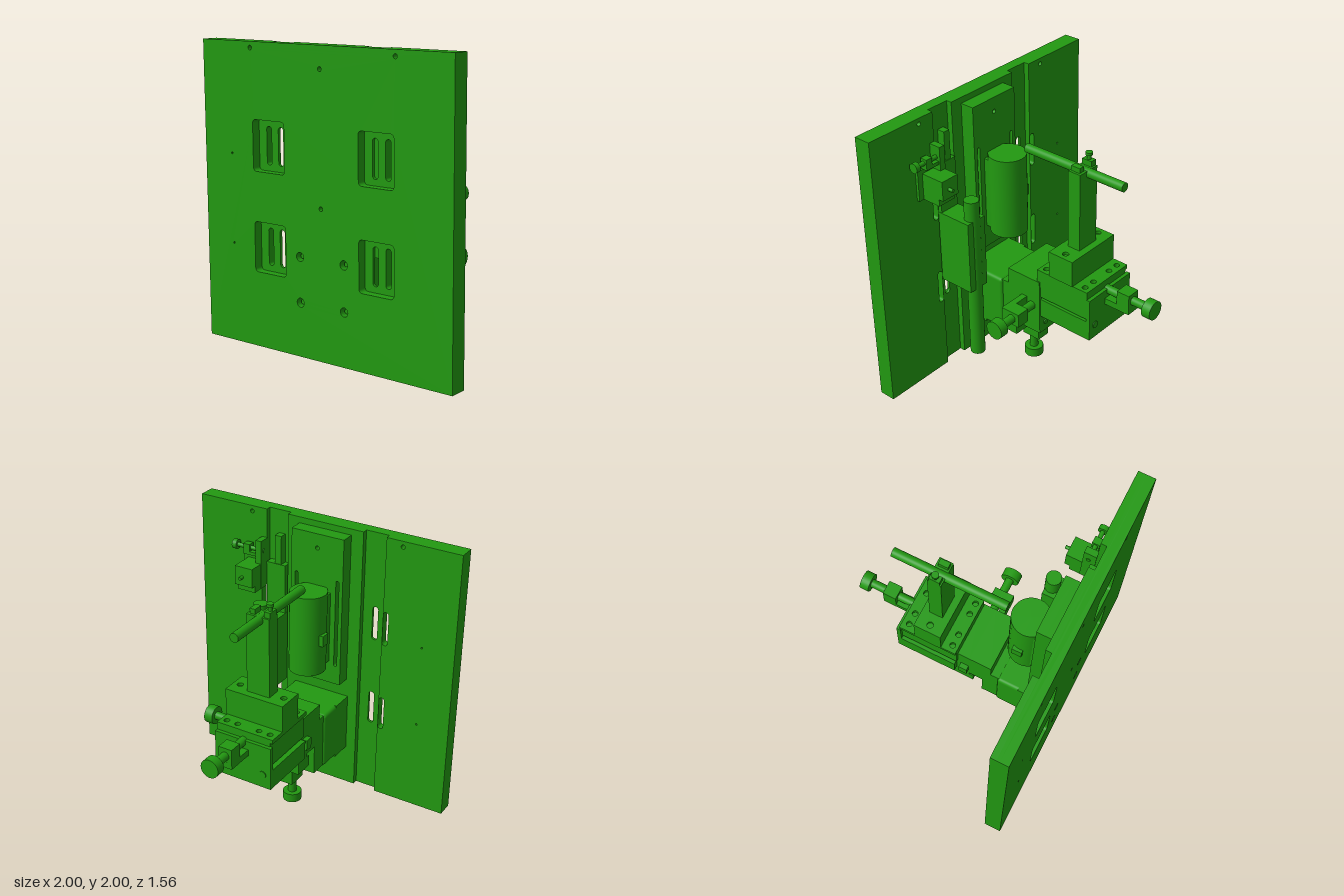
import * as THREE from 'three';
import { RoundedBoxGeometry } from 'three/addons/geometries/RoundedBoxGeometry.js';

const material = new THREE.MeshStandardMaterial({ color: 0x229911 });

export function createModel() {
  const model = new THREE.Group();

  const add = (name, geometry, x = 0, y = 0, z = 0, parent = model) => {
    const mesh = new THREE.Mesh(geometry, material);
    mesh.name = name;
    mesh.position.set(x, y, z);
    parent.add(mesh);
    return mesh;
  };
  // Box given by its limits on each axis
  const box = (name, x0, x1, y0, y1, z0, z1) =>
    add(name, new THREE.BoxGeometry(x1 - x0, y1 - y0, z1 - z0), (x0 + x1) / 2, (y0 + y1) / 2, (z0 + z1) / 2);
  // Cylinder along y or z from a to b
  const rodY = (name, x, z, r, a, b) =>
    add(name, new THREE.CylinderGeometry(r, r, b - a, 32), x, (a + b) / 2, z);
  const rodZ = (name, x, y, r, a, b) =>
    add(name, new THREE.CylinderGeometry(r, r, b - a, 32).rotateX(Math.PI / 2), x, y, (a + b) / 2);

  // Rounded rectangle and circle outlines
  const roundRect = (x0, x1, y0, y1, r, Type = THREE.Path) => {
    const p = new Type();
    p.absarc(x1 - r, y0 + r, r, -Math.PI / 2, 0);
    p.absarc(x1 - r, y1 - r, r, 0, Math.PI / 2);
    p.absarc(x0 + r, y1 - r, r, Math.PI / 2, Math.PI);
    p.absarc(x0 + r, y0 + r, r, Math.PI, Math.PI * 1.5);
    p.closePath();
    return p;
  };
  const circle = (x, y, r) => new THREE.Path().absarc(x, y, r, 0, Math.PI * 2);
  const sheet = (x0, x1, y0, y1, depth, holes) => {
    const s = new THREE.Shape([[x0, y0], [x1, y0], [x1, y1], [x0, y1]].map(p => new THREE.Vector2(...p)));
    s.holes.push(...holes);
    return new THREE.ExtrudeGeometry(s, { depth, bevelEnabled: false, curveSegments: 10 });
  };
  // Horizontal sheet: holes are listed as [x, z, r]
  const flatSheet = (name, x0, x1, y0, y1, z0, z1, holes) =>
    add(name, sheet(x0, x1, -z1, -z0, y1 - y0, holes.map(([x, z, r]) => circle(x, -z, r))).rotateX(-Math.PI / 2), 0, y0, 0);

  // Base plate: pocketed front, slotted core, grooved back
  const rows = [1.17, 0.505];
  const pockets = [], slots = [];
  for (const y of rows) for (const s of [-1, 1]) {
    pockets.push(roundRect(s * 0.435 - 0.135, s * 0.435 + 0.135, y, y + 0.335, 0.025));
    for (const x of [0.383, 0.483])
      slots.push({ x: s * x, path: roundRect(s * x - 0.021, s * x + 0.021, y + 0.04, y + 0.29, 0.02) });
  }
  const through = [[-0.58, 1.96, 0.015], [0.58, 1.96, 0.015], [0, 1.855, 0.015], [-0.76, 1.27, 0.007], [-0.76, 0.67, 0.007]];
  const bores = [];
  for (const x of [-0.18, 0.18]) for (const y of [0.36, 0.66]) bores.push([x, y]);
  const drill = list => list.map(h => circle(...h));
  add('plateFront', sheet(-1, 1, 0, 2, 0.06,
    [...pockets, ...drill(through), ...bores.map(b => circle(...b, 0.03)), circle(0, 0.99, 0.015)]), 0, 0, 0.72);
  add('plateCore', sheet(-1, 1, 0, 2, 0.02, [...slots.map(s => s.path), ...drill(through)]), 0, 0, 0.7);
  for (const [a, b] of [[-1, -0.46], [-0.29, 0.29], [0.46, 1]]) {
    const inside = x => x > a && x < b;
    add('plateBackStrip', sheet(a, b, 0, 2, 0.04,
      [...slots.filter(s => inside(s.x)).map(s => s.path), ...drill(through.filter(h => inside(h[0])))]), 0, 0, 0.66);
  }
  for (const [x, y] of bores) rodZ('plateBolt', x, y, 0.016, 0.71, 0.755);

  // Motor mounting slab with two long grooves
  add('motorSlab', sheet(-0.2, 0.2, 0.86, 1.957, 0.04, [circle(0, 1.855, 0.015)]), 0, 0, 0.62);
  add('motorSlabFace', sheet(-0.2, 0.2, 0.86, 1.957, 0.06,
    [circle(0, 1.855, 0.015), ...[-0.16, 0.16].map(x => roundRect(x - 0.012, x + 0.012, 1, 1.65, 0.011))]), 0, 0, 0.56);
  rodY('motor', 0, 0.453, 0.13, 0.997, 1.585);
  box('motorSaddle', -0.11, 0.11, 1.03, 1.55, 0.45, 0.57);
  box('motorTerminal', -0.15, -0.12, 1.22, 1.3, 0.4, 0.47);

  // Cylinder carrier on the left groove
  box('carrierRail', 0.3, 0.45, 0.72, 1.62, 0.64, 0.7);
  box('carrierRailEnd', 0.335, 0.385, 1.62, 1.83, 0.645, 0.7);
  box('carrierBlock', 0.295, 0.455, 0.72, 1.257, 0.4, 0.66);
  rodY('carrierCylinder', 0.372, 0.44, 0.052, 0.17, 1.4);

  // Small adjuster beside the carrier
  box('adjusterBlock', 0.46, 0.6, 1.43, 1.62, 0.5, 0.655);
  box('adjusterFace', 0.46, 0.6, 1.48, 1.62, 0.465, 0.5);
  box('adjusterFoot', 0.455, 0.5, 1.44, 1.79, 0.575, 0.66);
  box('adjusterBase', 0.505, 0.64, 1.43, 1.65, 0.64, 0.665);
  rodZ('adjusterScrew', 0.54, 1.545, 0.012, 0.43, 0.47);

  // Micrometer along local +x, starting at the stage wall
  const micrometer = (name, s, length) => {
    const g = new THREE.Group();
    g.name = name;
    const stick = (part, r, a, b) =>
      add(part, new THREE.CylinderGeometry(r, r, b - a, 32).rotateZ(Math.PI / 2), (a + b) / 2, 0, 0, g);
    stick('spindle', 0.03 * s, -0.03, length - 0.05 * s);
    stick('knob', 0.066 * s, length - 0.065 * s, length);
    add('holder', new THREE.BoxGeometry(0.097 * s, 0.115 * s, 0.1 * s), length - 0.225 * s, 0, 0, g);
    // Arm tying the holder back to the wall
    const arm = length - 0.176 * s;
    add('arm', new THREE.BoxGeometry(arm, 0.045 * s, 0.1 * s), arm / 2, -0.066 * s, 0, g);
    model.add(g);
    return g;
  };
  micrometer('rearMicrometer', 1, 0.37).rotation.y = Math.PI / 2;
  model.getObjectByName('rearMicrometer').position.set(-0.02, 0.857, -0.41);
  const side = micrometer('sideMicrometer', 1, 0.39);
  side.position.set(0.19, 0.63, 0.08);
  side.rotation.x = -Math.PI / 2;
  const lower = micrometer('lowerMicrometer', 1, 0.4);
  lower.position.set(-0.01, 0.42, 0.25);
  lower.rotation.set(0, -Math.PI / 2, -Math.PI / 2);
  const small = micrometer('adjusterMicrometer', 0.52, 0.22);
  small.position.set(0.48, 1.71, 0.612);

  // Bracket carrying the stage stack
  add('bracket', new RoundedBoxGeometry(0.43, 0.42, 0.32, 4, 0.025), 0, 0.515, 0.5);
  box('bracketFoot', -0.215, 0.215, 0.3, 0.725, 0.5, 0.66);
  box('verticalStageBase', -0.2, 0.2, 0.31, 0.72, 0.225, 0.38);

  // Vertical and sideways slides
  box('verticalSlide', -0.2, 0.2, 0.53, 0.84, 0.125, 0.288);
  box('slideFlange', -0.2, 0.2, 0.42, 0.84, 0.012, 0.125);
  box('slideLowerLip', -0.2, 0.2, 0.42, 0.5, 0.012, 0.155);
  box('slideLock', -0.235, -0.19, 0.6, 0.68, 0.06, 0.12);
  for (const x of [-0.14, -0.05, 0.05, 0.14])
    rodZ('slideBolt', x, 0.49, 0.018, 0.004, 0.02);

  // Depth stage with drilled top and bottom sheets
  const stageHoles = [];
  for (const z of [-0.335, -0.005]) for (const x of [-0.19, -0.105, 0.06, 0.145]) stageHoles.push([x, z, 0.02]);
  flatSheet('stageTop', -0.24, 0.19, 0.9, 0.93, -0.385, 0.038, stageHoles);
  box('stageBody', -0.22, 0.19, 0.72, 0.9, -0.385, 0.038);
  box('stageGuide', -0.17, 0.15, 0.7, 0.72, -0.4, 0.03);
  box('stageLower', -0.24, 0.19, 0.59, 0.7, -0.41, 0.03);
  box('stageRearPlate', -0.24, 0.19, 0.6, 0.875, -0.41, -0.38);
  flatSheet('stageBottom', -0.24, 0.19, 0.56, 0.59, -0.41, 0.03,
    [...stageHoles, [-0.11, -0.17, 0.025], [0.06, -0.17, 0.025]]);
  for (const x of [-0.18, 0.13]) rodZ('stageRearBolt', x, 0.66, 0.025, -0.416, -0.4);

  // Post with its base, clamp and cross rod
  box('postBase', -0.24, 0.197, 0.93, 1.1, -0.267, -0.07);
  flatSheet('postBaseTop', -0.24, 0.197, 1.1, 1.12, -0.267, -0.07, [[-0.19, -0.17, 0.022], [0.145, -0.17, 0.022]]);
  box('post', -0.11, 0.062, 1.12, 1.685, -0.217, -0.12);
  box('clampLeft', 0.005, 0.045, 1.685, 1.72, -0.2, -0.13);
  box('clampRight', -0.11, -0.065, 1.685, 1.725, -0.205, -0.13);
  rodY('clampScrew', -0.088, -0.168, 0.014, 1.72, 1.76);
  rodY('clampScrewHead', -0.088, -0.168, 0.024, 1.755, 1.775);
  rodZ('crossRod', -0.032, 1.662, 0.032, -0.497, 0.303);

  return model;
}
